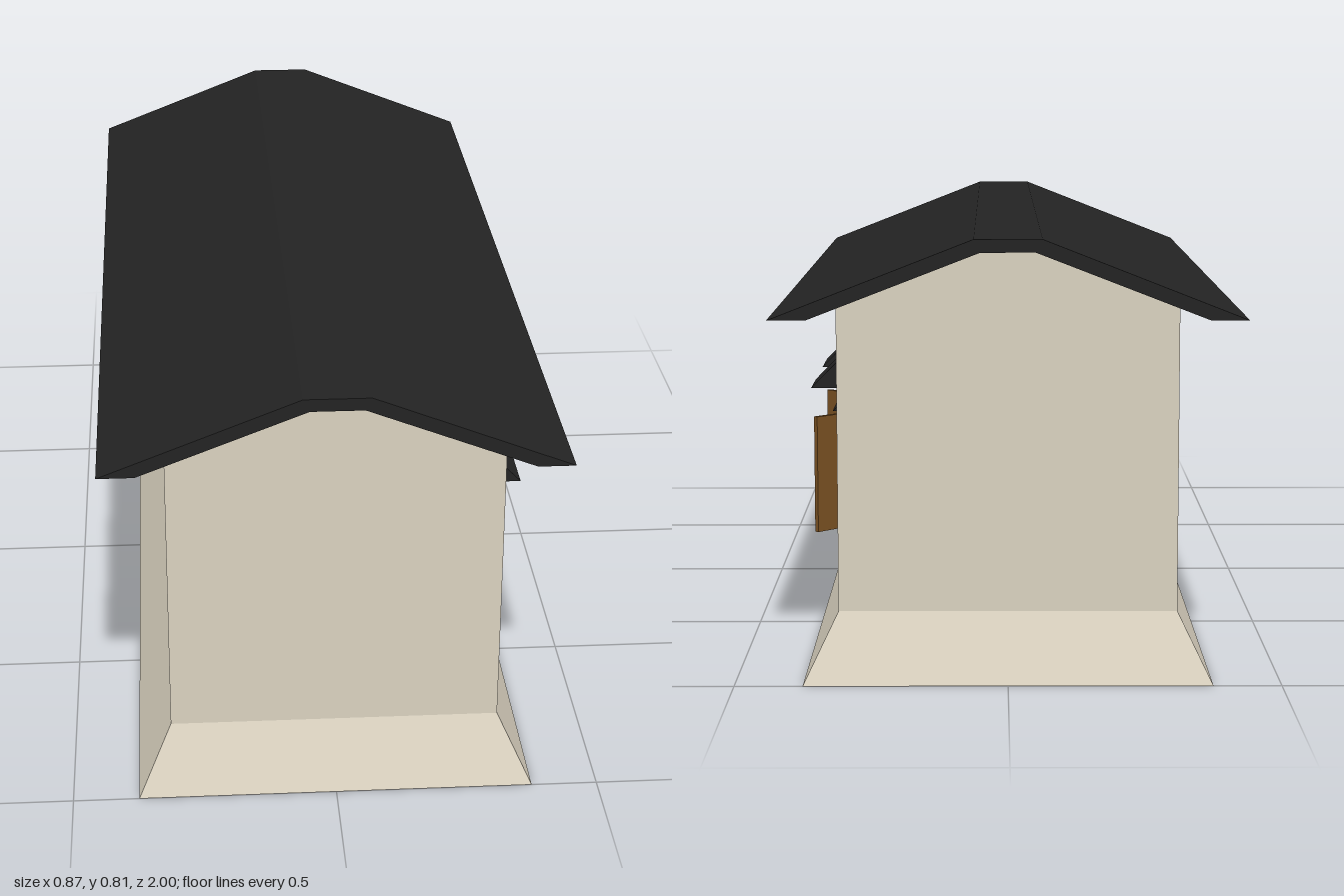
import * as THREE from 'three';

const material = (name, color) => {
  const m = new THREE.MeshStandardMaterial({ color });
  m.name = name;
  return m;
};

// Prism: an outline in x/y extruded along z between z0 and z1
function prism(points, z0, z1) {
  const shape = new THREE.Shape(points.map(([x, y]) => new THREE.Vector2(x, y)));
  const geometry = new THREE.ExtrudeGeometry(shape, { depth: z1 - z0, bevelEnabled: false });
  return geometry.translate(0, 0, z0);
}

export function createModel() {
  const house = new THREE.Group();
  house.name = 'longHouse';

  const plaster = material('plaster', 0xd9d1bf);
  const roofing = material('roofing', 0x232323);
  const glass = material('darkGlass', 0x4a4a4a);
  const wood = material('wood', 0x7a5122);
  const trim = material('paleTrim', 0xc4c4c0);

  const add = (name, geometry, mat, x = 0, y = 0, z = 0) => {
    const mesh = new THREE.Mesh(geometry, mat);
    mesh.name = name;
    mesh.position.set(x, y, z);
    house.add(mesh);
    return mesh;
  };

  const wallX = 0.312, wallZ = 0.94, baseY = 0.126;

  // Flared base: a box whose top is drawn in to meet the walls
  const base = new THREE.BoxGeometry(0.75, baseY, 2).translate(0, baseY / 2, 0);
  const p = base.attributes.position;
  for (let i = 0; i < p.count; i++) {
    if (p.getY(i) > baseY / 2) {
      p.setX(i, Math.sign(p.getX(i)) * wallX);
      p.setZ(i, Math.sign(p.getZ(i)) * wallZ);
    }
  }
  base.computeVertexNormals();
  add('flaredBase', base, plaster);

  // Walls with cut-off gables
  add('walls', prism([
    [-wallX, baseY], [wallX, baseY], [wallX, 0.692],
    [0.05, 0.794], [-0.05, 0.794], [-wallX, 0.692],
  ], -wallZ, wallZ), plaster);

  // Roof slab with a flat ridge and level eaves
  add('roof', prism([
    [0.365, 0.668], [0.435, 0.668], [0.062, 0.814], [-0.062, 0.814],
    [-0.435, 0.668], [-0.365, 0.668], [-0.05, 0.79], [0.05, 0.79],
  ], -0.975, 0.97), roofing);

  // Wedge-shaped canopy on the side wall
  const canopy = (name, y, z, width) => add(name, prism([
    [wallX, y], [0.375, y], [wallX, y + 0.064],
  ], z - width / 2, z + width / 2), roofing);

  // Framed opening as thin plates on the side wall
  const opening = (name, y, z, height, width) => {
    add(name + 'Frame', new THREE.BoxGeometry(0.003, height, width), trim, wallX + 0.0015, y, z);
    add(name + 'Pane', new THREE.BoxGeometry(0.005, height - 0.006, width - 0.008), glass, wallX + 0.0025, y, z);
  };

  // Four windows
  for (const z of [0.657, 0.327, -0.347, -0.657]) {
    opening('window', 0.448, z, 0.126, 0.127);
    canopy('windowCanopy', 0.51, z, 0.126);
  }

  // Doorway with two leaves standing open
  opening('doorway', 0.251, 0.002, 0.25, 0.235);
  canopy('doorCanopy', 0.376, 0.002, 0.256);
  for (const side of [1, -1]) {
    const leaf = add(side > 0 ? 'frontDoorLeaf' : 'backDoorLeaf',
      new THREE.BoxGeometry(0.13, 0.25, 0.01), wood, 0.36, 0.251, 0.002 + side * 0.162);
    leaf.rotation.y = -side * Math.PI / 4;
  }

  return house;
}
